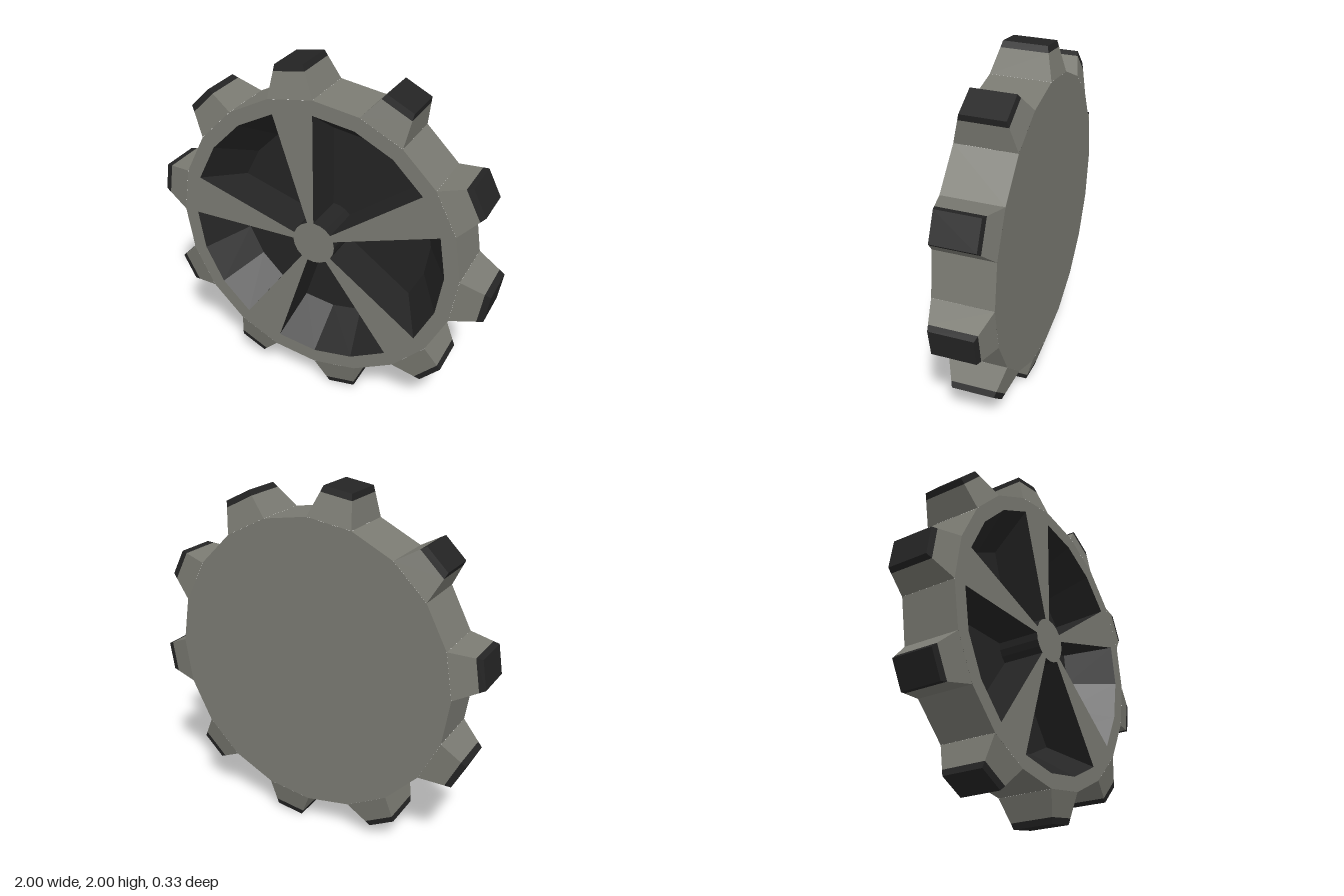
import * as THREE from 'three';

const STEP = Math.PI / 10;          // the wheel is a 20-sided polygon
const HALF = 0.167;                 // half thickness
const FLOOR = -0.083;               // pocket floor depth
const ROOT = 0.84, RIM = 0.757, FLOOR_R = 0.59, HUB = 0.125;

const polar = (r, i, z = 0) => [r * Math.cos(i * STEP), r * Math.sin(i * STEP), z];

// Flat-shaded geometry from counter-clockwise quads
function quadGeometry(quads) {
  const pos = [];
  for (const [a, b, c, d] of quads) pos.push(...a, ...b, ...c, ...a, ...c, ...d);
  const g = new THREE.BufferGeometry();
  g.setAttribute('position', new THREE.Float32BufferAttribute(pos, 3));
  g.computeVertexNormals();
  return g;
}

// Points of a 20-gon outline between two steps
function outline(r, from, to) {
  const pts = [];
  for (let i = from; i <= to; i++) pts.push(new THREE.Vector2(...polar(r, i).slice(0, 2)));
  return pts;
}

// Sunken wedge: floor, sloped outer wall, upright hub and spoke walls
function pocketGeometry() {
  const quads = [];
  for (let i = 0; i < 3; i++) {
    const j = i + 1;
    quads.push(
      [polar(HUB, i, FLOOR), polar(FLOOR_R, i, FLOOR), polar(FLOOR_R, j, FLOOR), polar(HUB, j, FLOOR)],
      [polar(FLOOR_R, i, FLOOR), polar(RIM, i, HALF), polar(RIM, j, HALF), polar(FLOOR_R, j, FLOOR)],
      [polar(HUB, i, HALF), polar(HUB, i, FLOOR), polar(HUB, j, FLOOR), polar(HUB, j, HALF)]
    );
  }
  const wall = i => [polar(HUB, i, FLOOR), polar(HUB, i, HALF), polar(RIM, i, HALF), polar(FLOOR_R, i, FLOOR)];
  quads.push(wall(0), wall(3).reverse());
  return quadGeometry(quads);
}

// Cross-section of a tooth pointing along +x; t runs from root to tip
function toothRing(t) {
  const x = THREE.MathUtils.lerp(0.83, 0.9995, t);
  const w = THREE.MathUtils.lerp(0.1314, 0.082, t);
  const d = THREE.MathUtils.lerp(HALF, 0.12, t);
  return [[x, -w, -d], [x, w, -d], [x, w, d], [x, -w, d]];
}

function toothGeometry(t0, t1, capped) {
  const a = toothRing(t0), b = toothRing(t1);
  const quads = a.map((p, i) => [p, a[(i + 1) % 4], b[(i + 1) % 4], b[i]]);
  if (capped) quads.push(b);
  return quadGeometry(quads);
}

export function createModel() {
  const grey = new THREE.MeshStandardMaterial({ color: 0x7a7a72 });
  grey.name = 'warm grey';
  const dark = new THREE.MeshStandardMaterial({ color: 0x242424 });
  dark.name = 'near black';

  const wheel = new THREE.Group();
  wheel.name = 'cogWheel';
  const add = (name, geometry, material) => {
    const mesh = new THREE.Mesh(geometry, material);
    mesh.name = name;
    wheel.add(mesh);
    return mesh;
  };

  // Front face with five wedge openings between the spokes
  const face = new THREE.Shape(outline(ROOT, 0, 19));
  for (let k = 0; k < 5; k++) {
    const s = 2 + 4 * k;
    face.holes.push(new THREE.Path([...outline(HUB, s, s + 3), ...outline(RIM, s, s + 3).reverse()]));
  }
  add('spokedFace', new THREE.ShapeGeometry(face), grey).position.z = HALF;

  // Plain back face
  const back = add('backFace', new THREE.ShapeGeometry(new THREE.Shape(outline(ROOT, 0, 19))), grey);
  back.rotation.x = Math.PI;
  back.position.z = -HALF;

  // Rim facets between the teeth
  const rim = [];
  for (let i = 0; i < 20; i += 2) {
    rim.push([polar(ROOT, i + 1, -HALF), polar(ROOT, i + 2, -HALF), polar(ROOT, i + 2, HALF), polar(ROOT, i + 1, HALF)]
      .map(p => [p[0], p[1], p[2]]));
  }
  // Teeth stand on the sides from 90 to 108 degrees and every 36 degrees on
  add('rim', quadGeometry(rim), grey).rotation.z = 5 * STEP;

  // Pockets
  const pocket = pocketGeometry();
  for (let k = 0; k < 5; k++) add('pocket', pocket, dark).rotation.z = (2 + 4 * k) * STEP;

  // Tapered teeth with dark tips
  const body = toothGeometry(0, 0.8, false);
  const tip = toothGeometry(0.8, 1, true);
  for (let k = 0; k < 10; k++) {
    const angle = (5.5 + 2 * k) * STEP;
    add('tooth', body, grey).rotation.z = angle;
    add('toothTip', tip, dark).rotation.z = angle;
  }

  wheel.position.y = 1;
  const model = new THREE.Group();
  model.name = 'gear';
  model.add(wheel);
  return model;
}
